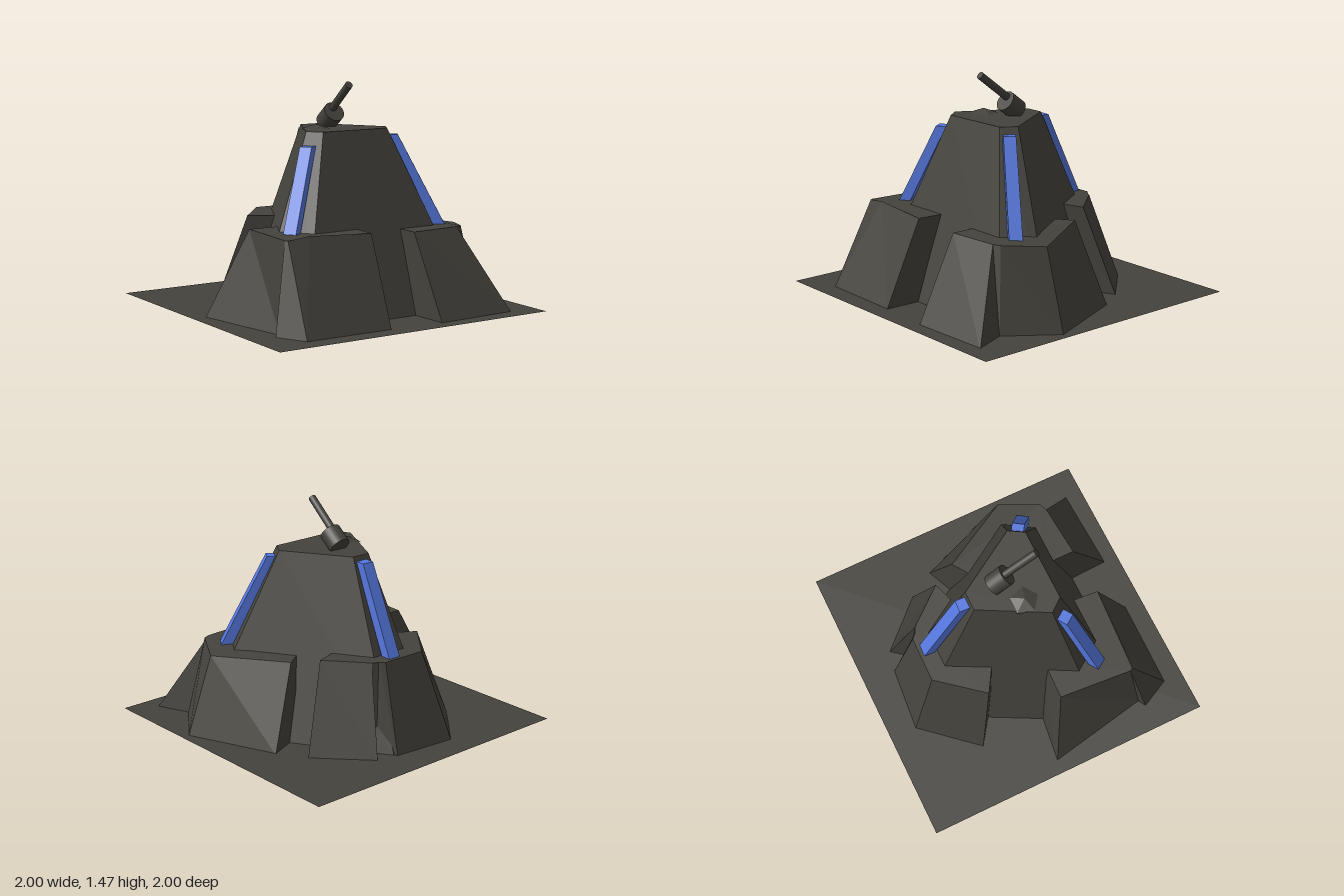
import * as THREE from 'three';

const ROCK = new THREE.MeshStandardMaterial({ color: 0x44423c, flatShading: true });
const GROUND = new THREE.MeshStandardMaterial({ color: 0x44423c, flatShading: true, side: THREE.DoubleSide });
const METAL = new THREE.MeshStandardMaterial({ color: 0x44423c });
const BLUE = new THREE.MeshStandardMaterial({ color: 0x5577dd, flatShading: true });

// Solid between two rings of [x, z] points; a third number overrides the height.
function loft(name, material, bottom, yBottom, top, yTop) {
  const area = bottom.reduce((sum, [x, z], i) => {
    const [x2, z2] = bottom[(i + 1) % bottom.length];
    return sum + x * z2 - x2 * z;
  }, 0);
  if (area < 0) {
    bottom = [...bottom].reverse();
    top = [...top].reverse();
  }
  const place = (ring, y) => ring.map(p => new THREE.Vector3(p[0], p[2] ?? y, p[1]));
  const b = place(bottom, yBottom), t = place(top, yTop), points = [];
  for (let i = 0; i < b.length; i++) {
    const j = (i + 1) % b.length;
    points.push(b[i], t[i], t[j], b[i], t[j], b[j]);
  }
  const cap = ring => THREE.ShapeUtils.triangulateShape(ring.map(p => new THREE.Vector2(p[0], p[1])), []);
  for (const [i, j, k] of cap(bottom)) points.push(b[i], b[j], b[k]);
  for (const [i, j, k] of cap(top)) points.push(t[i], t[k], t[j]);
  const geometry = new THREE.BufferGeometry().setFromPoints(points);
  geometry.computeVertexNormals();
  const mesh = new THREE.Mesh(geometry, material);
  mesh.name = name;
  return mesh;
}

// Horizontal rectangle turned to face along the direction (dx, dz).
function rectangle(x, z, dx, dz, depth, width) {
  const l = Math.hypot(dx, dz), u = dx / l, v = dz / l;
  return [[-1, -1], [1, -1], [1, 1], [-1, 1]].map(([a, c]) =>
    [x + (a * depth * u - c * width * v) / 2, z + (a * depth * v + c * width * u) / 2]);
}

// Cylinder running between two points.
function rod(name, from, to, radius) {
  const a = new THREE.Vector3(...from), b = new THREE.Vector3(...to), d = b.clone().sub(a);
  const mesh = new THREE.Mesh(new THREE.CylinderGeometry(radius, radius, d.length(), 24), METAL);
  mesh.position.copy(a).add(b).multiplyScalar(0.5);
  mesh.quaternion.setFromUnitVectors(new THREE.Vector3(0, 1, 0), d.normalize());
  mesh.name = name;
  return mesh;
}

export function createModel() {
  const model = new THREE.Group();
  model.name = 'turretTower';

  // Ground sheet
  const ground = new THREE.Mesh(new THREE.PlaneGeometry(2, 2), GROUND);
  ground.rotation.x = -Math.PI / 2;
  ground.position.y = 0.01;
  ground.name = 'ground';
  model.add(ground);

  // Tapered tower: a triangle with cut corners
  model.add(loft('tower', ROCK,
    [[-0.59, 0.64], [0.69, 0.64], [0.87, 0.36], [0.17, -0.76], [-0.21, -0.76], [-0.79, 0.35]], 0.005,
    [[-0.23, 0.27], [0.26, 0.27], [0.32, 0.17], [0.06, -0.25], [-0.07, -0.25], [-0.30, 0.18]], 1.17));

  // Low mound on the tower roof
  const mound = new THREE.Mesh(new THREE.ConeGeometry(0.1, 0.035, 5), ROCK);
  mound.position.set(-0.15, 1.185, 0.06);
  mound.name = 'roofMound';
  model.add(mound);

  // Angular rock buttresses wrapped round the three corners
  model.add(loft('rightButtress', ROCK,
    [[-0.91, -0.05], [-0.78, 0.64], [-0.83, 0.67], [-0.73, 0.87], [-0.13, 0.88], [-0.11, 0.4], [-0.4, 0.02]], 0,
    [[-0.66, 0.08], [-0.70, 0.57], [-0.69, 0.59], [-0.55, 0.60, 0.585], [-0.11, 0.63], [-0.09, 0.4], [-0.4, 0.09]], 0.567));
  model.add(loft('leftButtress', ROCK,
    [[0.24, 0.905], [0.81, 0.885], [0.72, 0.66], [0.95, 0.345], [0.71, -0.25], [0.36, -0.1], [0.22, 0.4]], 0,
    [[0.225, 0.62], [0.58, 0.595], [0.63, 0.575], [0.77, 0.325, 0.52], [0.50, -0.155], [0.36, -0.06], [0.225, 0.4]], 0.543));
  model.add(loft('backButtress', ROCK,
    [[-0.60, -0.46], [-0.28, -0.82], [0.155, -0.78], [0.21, -0.64], [0.30, -0.75], [0.60, -0.435], [0.25, -0.27], [-0.27, -0.23]], 0,
    [[-0.435, -0.33], [-0.19, -0.625], [0.12, -0.62], [0.15, -0.59], [0.19, -0.57], [0.40, -0.32], [0.25, -0.27], [-0.27, -0.23]], 0.58));

  // Blue strips leaning up the corners: bottom x, y, z, then top x, y, z
  const strips = [
    ['leftStrip', 0.58, 0.53, 0.415, 0.32, 1.125, 0.245],
    ['rightStrip', -0.545, 0.57, 0.40, -0.335, 1.085, 0.255],
    ['backStrip', 0.02, 0.57, -0.565, 0.005, 1.14, -0.295],
  ];
  for (const [name, x0, y0, z0, x1, y1, z1] of strips) {
    const dx = x0 - x1, dz = z0 - z1;
    model.add(loft(name, BLUE,
      rectangle(x0, z0, dx, dz, 0.075, 0.085), y0,
      rectangle(x1, z1, dx, dz, 0.07, 0.08), y1));
  }

  // Gun on the roof, aimed forward and up
  const gun = new THREE.Group();
  gun.name = 'gun';
  gun.add(rod('gunBody', [0.022, 1.195, -0.08], [0.018, 1.27, 0.02], 0.07));
  gun.add(rod('gunBarrel', [0.02, 1.255, -0.045], [0.002, 1.455, 0.215], 0.025));
  model.add(gun);

  return model;
}
